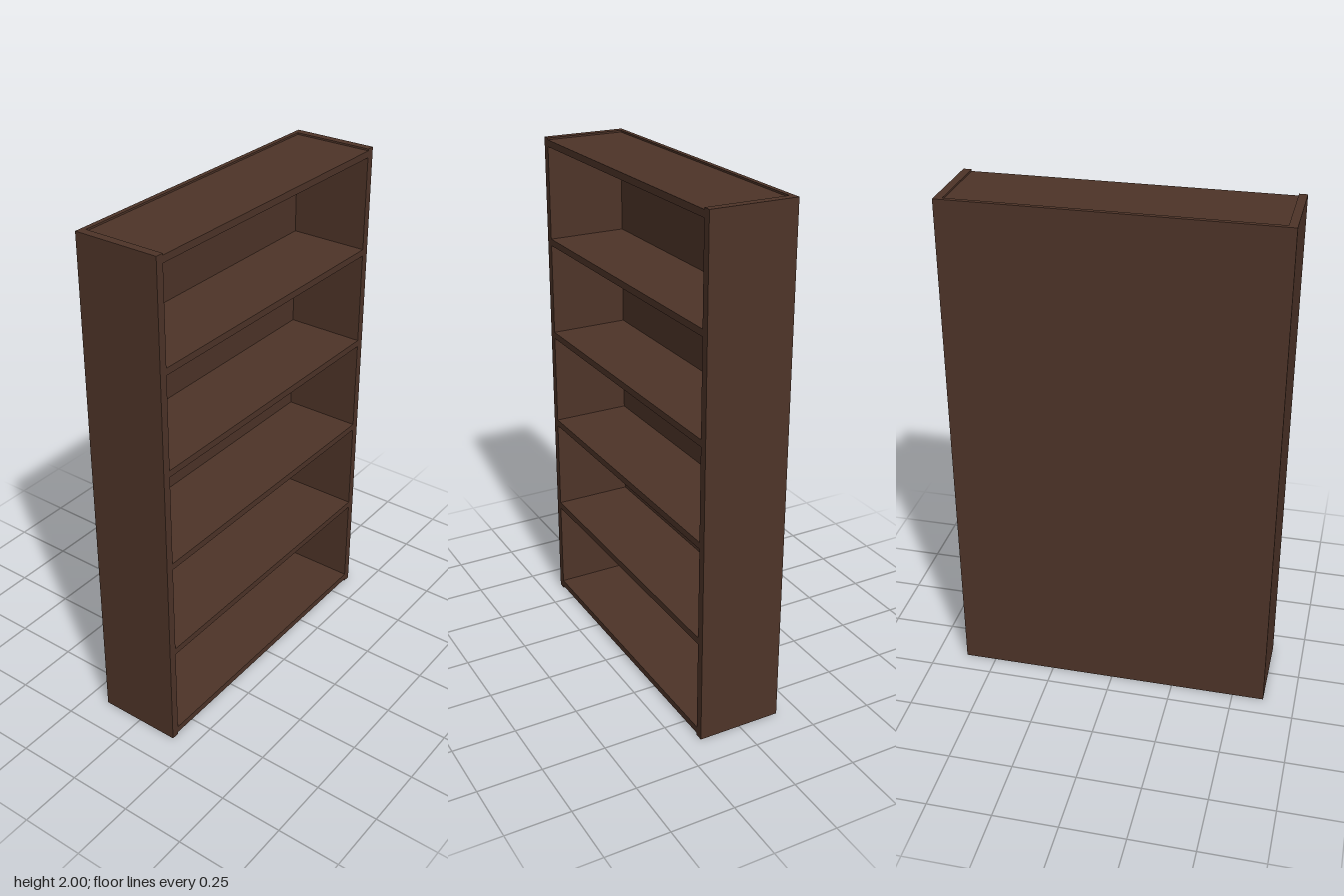
import * as THREE from 'three';

const WIDTH = 1.25, HEIGHT = 2, DEPTH = 0.332;
const SIDE = 0.031, BACK = 0.018, BOARD = 0.0265;

export function createModel() {
  const group = new THREE.Group();
  group.name = 'bookcase';
  const wood = new THREE.MeshStandardMaterial({ color: 0x4e3428 });

  const addBoard = (name, w, h, d, x, y, z) => {
    const mesh = new THREE.Mesh(new THREE.BoxGeometry(w, h, d), wood);
    mesh.name = name;
    mesh.position.set(x, y, z);
    group.add(mesh);
  };

  // Full-height side panels
  for (const [name, s] of [['leftSide', 1], ['rightSide', -1]]) {
    addBoard(name, SIDE, HEIGHT, DEPTH, s * (WIDTH - SIDE) / 2, HEIGHT / 2, 0);
  }

  // Full-height back panel between the sides
  const inner = WIDTH - 2 * SIDE;
  addBoard('backPanel', inner, HEIGHT, BACK, 0, HEIGHT / 2, (BACK - DEPTH) / 2);

  // Bottom, four shelves and top; the outer two sit slightly inside the side ends
  const names = ['bottomBoard', 'shelf1', 'shelf2', 'shelf3', 'shelf4', 'topBoard'];
  names.forEach((name, i) => {
    addBoard(name, inner, BOARD, DEPTH - BACK, 0, 0.0225 + i * 0.3915, BACK / 2);
  });

  return group;
}
